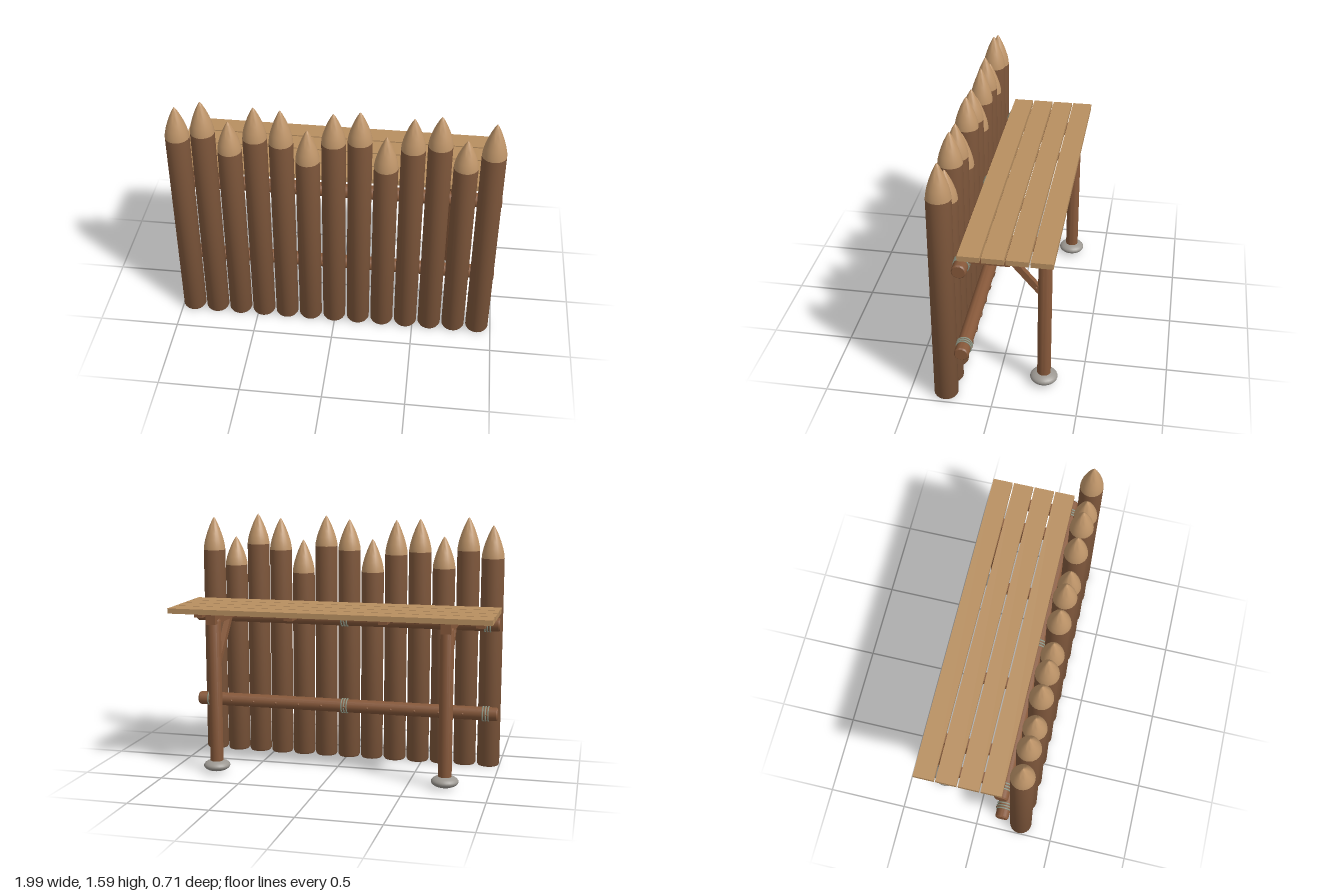
import * as THREE from 'three';
import { toCreasedNormals } from 'three/addons/utils/BufferGeometryUtils.js';

const flat = (name, color) => {
  const m = new THREE.MeshStandardMaterial({ color });
  m.name = name;
  return m;
};

export function createModel() {
  const bark = flat('bark', 0x80583c);
  const cutWood = flat('cutWood', 0xc0966a);
  const plankWood = flat('plankWood', 0xb88f60);
  const frameWood = flat('frameWood', 0x86583a);
  const stone = flat('stone', 0x9c9892);
  const rope = flat('rope', 0x8f9684);

  const model = new THREE.Group();
  model.name = 'palisadeWall';

  const add = (parent, name, geometry, material, x = 0, y = 0, z = 0) => {
    const mesh = new THREE.Mesh(geometry, material);
    mesh.name = name;
    mesh.position.set(x, y, z);
    parent.add(mesh);
    return mesh;
  };
  const lathe = (points, sides) => toCreasedNormals(
    new THREE.LatheGeometry(points.map(([r, y]) => new THREE.Vector2(r, y)), sides), 0.6);
  const group = (name) => {
    const g = new THREE.Group();
    g.name = name;
    model.add(g);
    return g;
  };

  // Sharpened upright logs: [height of the bark, height of the point]
  const logs = [
    [1.33, 1.535], [1.375, 1.583], [1.26, 1.46], [1.36, 1.567], [1.34, 1.558],
    [1.225, 1.435], [1.362, 1.558], [1.385, 1.58], [1.21, 1.423], [1.355, 1.56],
    [1.39, 1.585], [1.25, 1.435], [1.345, 1.56],
  ];
  const logX = (i) => -0.927 + i * 0.1533;
  const taper = [[1, 0], [0.97, 0.12], [0.86, 0.3], [0.68, 0.5], [0.46, 0.7], [0.22, 0.88], [0.09, 0.96], [0, 1]];
  const wall = group('wall');
  logs.forEach(([top, tip], i) => {
    const r = 0.0715;
    add(wall, 'log', lathe([[0, 0], [r - 0.007, 0], [r, 0.012], [r, top], [0, top]], 24), bark, logX(i), 0, 0.285);
    add(wall, 'logPoint', lathe(taper.map(([k, t]) => [k * r, top + t * (tip - top)]), 24), cutWood, logX(i), 0, 0.285);
  });

  // Horizontal rails with pegs and rope lashings
  for (const y of [0.36, 0.93]) {
    const rail = group('rail');
    rail.position.set(0, y, 0.172);
    const r = 0.043;
    const beam = add(rail, 'railLog',
      lathe([[0, -0.993], [r - 0.007, -0.993], [r, -0.985], [r, 0.985], [r - 0.007, 0.993], [0, 0.993]], 18), frameWood);
    beam.rotation.z = -Math.PI / 2;
    logs.forEach((_, i) => {
      add(rail, 'peg', new THREE.SphereGeometry(0.008, 8, 6), frameWood, logX(i), 0, -r);
    });
    for (const x of [-0.917, -0.005, 0.907]) {
      for (const dx of [-0.017, 0, 0.017]) {
        const loop = add(rail, 'ropeLoop', new THREE.TorusGeometry(r + 0.002, 0.005, 6, 24), rope, x + dx);
        loop.rotation.y = Math.PI / 2;
      }
    }
  }

  // Walkway planks
  const deck = group('deck');
  for (const z of [0.117, -0.018, -0.153, -0.288]) {
    add(deck, 'plank', new THREE.BoxGeometry(1.99, 0.032, 0.125), plankWood, -0.003, 1.021, z);
  }

  // Short joists under the walkway
  for (const x of [-0.9, -0.305, 0.295, 0.89]) {
    add(deck, 'joist', new THREE.BoxGeometry(0.055, 0.06, 0.28), frameWood, x, 0.975, 0.04);
  }

  // Supports: post on a stone, cross beam and diagonal brace
  for (const x of [-0.727, 0.717]) {
    const support = group('support');
    support.position.x = x;
    add(support, 'crossBeam', new THREE.BoxGeometry(0.06, 0.062, 0.52), frameWood, 0, 0.974, -0.08);
    add(support, 'post', lathe([[0, 0.03], [0.041, 0.03], [0.041, 0.96], [0.034, 0.972], [0, 0.972]], 18), frameWood, 0, 0, -0.272);
    const foot = add(support, 'footStone', new THREE.SphereGeometry(1, 24, 14), stone, 0, 0.04, -0.272);
    foot.scale.set(0.083, 0.036, 0.083);

    const a = new THREE.Vector3(0, 0.945, -0.005);
    const b = new THREE.Vector3(0, 0.665, -0.243);
    const brace = add(support, 'brace', new THREE.BoxGeometry(0.036, 0.036, a.distanceTo(b)), frameWood);
    brace.position.copy(a).add(b).multiplyScalar(0.5);
    brace.lookAt(b.clone().setX(x));
    brace.rotation.set(Math.atan2(b.y - a.y, a.z - b.z), 0, 0);
    for (const s of [-1, 1]) {
      add(support, 'bracePeg', new THREE.SphereGeometry(0.008, 8, 6), frameWood, s * 0.018, 0.69, -0.222);
    }
  }

  return model;
}
